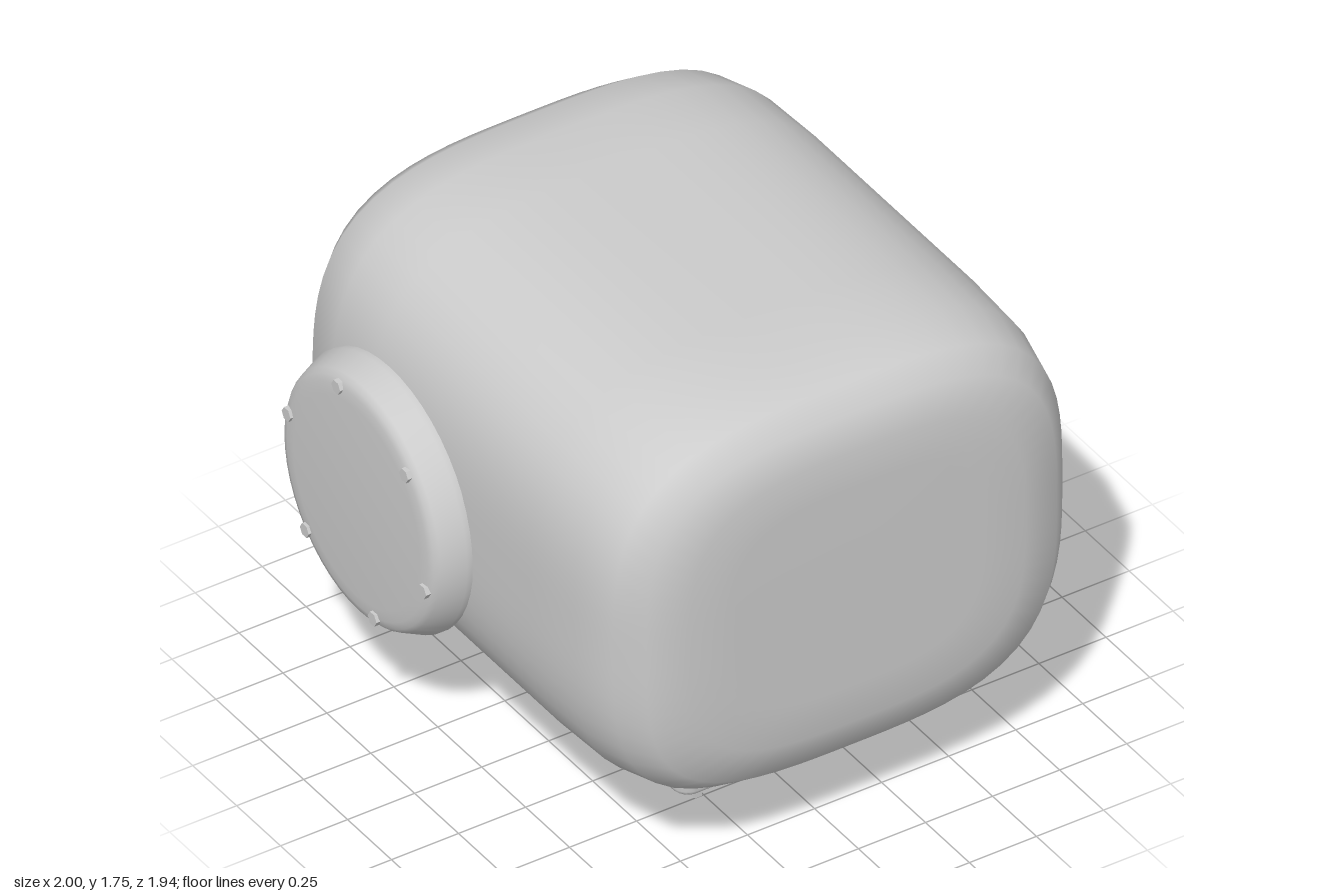
import * as THREE from 'three';
import { toCreasedNormals } from 'three/addons/utils/BufferGeometryUtils.js';

const material = new THREE.MeshStandardMaterial({ color: 0xcccccc });

function add(parent, name, geometry, x = 0, y = 0, z = 0) {
  const mesh = new THREE.Mesh(geometry, material);
  mesh.name = name;
  mesh.position.set(x, y, z);
  parent.add(mesh);
  return mesh;
}

// Smooth housing: rounded-rectangle rings lofted along z, closed by flat ends
function housingGeometry() {
  const half = [[0.972, 0, 0], [0.972, 0.46, 0.38], [0.97, 0.625, 0.525], [0.935, 0.765, 0.643],
    [0.855, 0.838, 0.702], [0.69, 0.873, 0.74], [0.45, 0.885, 0.744]];
  const rings = [...half.map(([z, a, b]) => [-z, a, b]), ...half.slice().reverse()];
  const N = 72, n = 3.25, pos = [], index = [];
  for (const [z, a, b] of rings) {
    for (let i = 0; i < N; i++) {
      const t = (i / N) * Math.PI * 2, c = Math.cos(t), s = Math.sin(t);
      const r = (Math.abs(c) ** n + Math.abs(s) ** n) ** (-1 / n);
      pos.push(a * r * c, b * r * s, z);
    }
  }
  for (let j = 0; j < rings.length - 1; j++) {
    for (let i = 0; i < N; i++) {
      const k = (i + 1) % N, p = j * N + i, q = j * N + k, u = p + N, v = q + N;
      if (j > 0) index.push(p, q, v);
      if (j < rings.length - 2) index.push(p, v, u);
    }
  }
  const g = new THREE.BufferGeometry();
  g.setAttribute('position', new THREE.Float32BufferAttribute(pos, 3));
  g.setIndex(index);
  g.computeVertexNormals();
  return g;
}

// Round side cover with a ring of hex bolts; its outer face points along local +y
function boltedCover(name, profile, bolts, startAngle, boltRadius, boltTop) {
  const group = new THREE.Group();
  group.name = name;
  const points = profile.map(([r, h]) => new THREE.Vector2(r, h));
  add(group, name + 'Disc', toCreasedNormals(new THREE.LatheGeometry(points, 48), 0.9));
  for (let i = 0; i < bolts; i++) {
    const t = startAngle + (i / bolts) * Math.PI * 2;
    const bolt = new THREE.CylinderGeometry(0.025, 0.025, 0.05, 6).toNonIndexed();
    bolt.computeVertexNormals();
    add(group, name + 'Bolt', bolt, boltRadius * Math.sin(t), boltTop - 0.025, boltRadius * Math.cos(t));
  }
  return group;
}

// Sump block: rounded plan with a softened lower edge
function sumpGeometry(w, d, h) {
  const r = 0.04, bevel = 0.018, x = w / 2 - bevel, z = d / 2 - bevel;
  const s = new THREE.Shape();
  s.absarc(x - r, z - r, r, 0, Math.PI / 2);
  s.absarc(r - x, z - r, r, Math.PI / 2, Math.PI);
  s.absarc(r - x, r - z, r, Math.PI, Math.PI * 1.5);
  s.absarc(x - r, r - z, r, Math.PI * 1.5, Math.PI * 2);
  const g = new THREE.ExtrudeGeometry(s, {
    depth: h - 2 * bevel, bevelThickness: bevel, bevelSize: bevel, bevelSegments: 3, curveSegments: 6,
  });
  g.translate(0, 0, bevel).rotateX(-Math.PI / 2);
  return toCreasedNormals(g, 0.7);
}

export function createModel() {
  const model = new THREE.Group();
  model.name = 'gearHousing';

  add(model, 'housing', housingGeometry(), 0.017, 1.002, 0);

  // Large cover on the right side, small cover on the left
  const large = boltedCover('largeCover',
    [[0, 0], [0.475, 0], [0.475, 0.022], [0.44, 0.1], [0.425, 0.115], [0.4, 0.122], [0.36, 0.125], [0, 0.125]],
    6, Math.PI / 4, 0.4, 0.134);
  large.position.set(-0.866, 0.913, -0.346);
  large.rotation.z = Math.PI / 2;
  // A negative start angle because local +x points down on this side
  const small = boltedCover('smallCover',
    [[0, 0], [0.232, 0], [0.233, 0.02], [0.226, 0.042], [0.21, 0.06], [0.19, 0.072], [0.15, 0.078], [0, 0.078]],
    3, -0.742, 0.198, 0.094);
  small.position.set(0.904, 0.83, -0.687);
  small.rotation.z = -Math.PI / 2;
  model.add(large, small);

  // Sump with cooling ribs and a hex drain plug
  add(model, 'sump', sumpGeometry(0.78, 1.257, 0.26), 0.015, 0.07, -0.058);
  for (let i = 0; i < 4; i++) {
    add(model, 'sumpRib', new THREE.BoxGeometry(0.025, 0.08, 1.145), -0.28 + i * 0.197, 0.053, -0.056);
  }
  const plug = new THREE.CylinderGeometry(0.062, 0.062, 0.09, 6).toNonIndexed();
  plug.rotateY(Math.PI / 6);
  plug.computeVertexNormals();
  add(model, 'drainPlug', plug, 0.018, 0.045, 0.345);

  return model;
}
